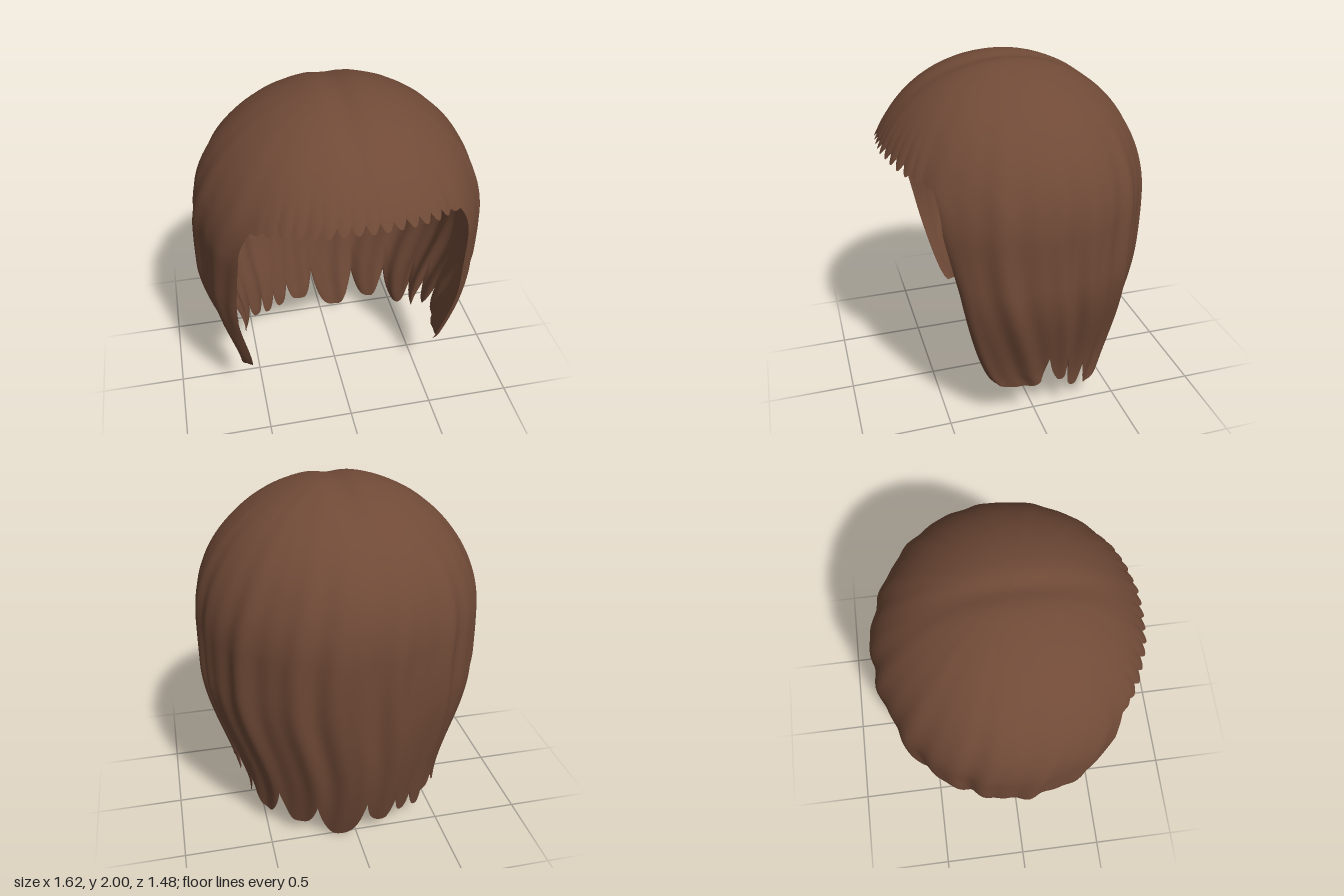
import * as THREE from 'three';

const DEG = Math.PI / 180;
const EDGE = 135 * DEG;      // half-angle of the side curtain at the fringe, measured from the back
const FRONT = Math.PI - EDGE;        // half-angle of the fringe
const BACK = 60 * DEG;               // strands within this half-angle hang straight down
const CURTAIN = 270, FRINGE = 160;   // columns
const CAP = 26, DROP = 40;           // rows
const COLS = CURTAIN + FRINGE;
const MID = 1.25, DOME = 0.755;      // height of the widest section, rise of the dome above it
const TEETH = 32;                    // scallop frequency of the fringe
const { clamp, lerp, smoothstep } = THREE.MathUtils;

// Lock tips along the hem: [end angle, tip height, height of the notch at the end angle]
const locks = [
  [-83, 0.28, 0.38], [-70, 0.25, 0.37], [-55, 0.11, 0.26], [-41, 0.13, 0.2], [-33, 0.08, 0.2],
  [-22, 0.09, 0.22], [-4, 0.08, 0.26], [22, 0, 0.25], [43, 0.09, 0.31], [64, 0.12, 0.33],
  [74, 0.18, 0.42], [84, 0.27, 0.47], [110, 0.27, 0.31],
];

// Squeeze the side strands so that the outermost one follows the front edge
function squeeze(u, edge) {
  const a = Math.abs(u);
  if (a <= BACK || a > EDGE) return u;
  return Math.sign(u) * (BACK + ((a - BACK) * (edge - BACK)) / (EDGE - BACK));
}

function hemHeight(u) {
  const a = clamp(squeeze(u, 110 * DEG) / DEG, -110, 110);
  let start = -110, startNotch = 0.31;
  for (const [end, tip, notch] of locks) {
    if (a <= end + 1e-6) {
      const s = ((a - start) / (end - start)) * 2 - 1;
      return tip + ((s < 0 ? startNotch : notch) - tip) * Math.abs(s) ** 3;
    }
    start = end;
    startNotch = notch;
  }
  return startNotch;
}

// Fade of the scallops toward the ends of the fringe
const fringeFade = (v) => clamp((FRONT - Math.abs(v)) * 5, 0, 1);

// Scalloped lower edge of the fringe
function fringeHeight(u) {
  const v = u - Math.PI;
  return 1.5 + 0.05 * Math.cos(2 * v)
    + 0.045 * fringeFade(v) * (1 - Math.abs(Math.sin(TEETH * v)));
}

// Angle of the curtain's front edge at a height, with a rounded upper corner
function edgeAngle(y) {
  return (110 + 20.5 * clamp(y - 0.3, 0, 1) ** 0.6 + 4.5 * clamp((y - 1.3) / 0.2, 0, 1) ** 2) * DEG;
}

// Point on the head shape: u around (0 = back), y up, thin = inward offset
function hairPoint(u, y, thin) {
  const cosT = clamp((y - MID) / DOME, 0, 1);
  const low = clamp((MID - y) / MID, 0, 1);
  const phi = squeeze(u, edgeAngle(y));
  const back = 0.5 + 0.5 * Math.cos(phi);

  // strand waves, deepest at the back and low down
  const amp = (0.003 + 0.011 * clamp((1.75 - y) / 0.6, 0, 1)) * (0.3 + 0.7 * Math.sqrt(back));
  const sway = Math.sin(4.5 * y);
  const wave = Math.sin(17 * u + 0.9 * sway) + 0.6 * Math.sin(29 * u + 2 + 1.2 * sway)
    + 0.5 * Math.sin(7 * u + 1 + 0.5 * sway);
  let r = Math.sqrt(1 - cosT * cosT) * (1 + amp * wave) * (1 - 0.036 * thin);

  // slightly squared front corners
  if (back < 0.5) r *= 1 + 0.015 * Math.sin(2 * phi) ** 2;

  // fine ripples running into the fringe scallops
  const v = u - Math.PI;
  const ripple = clamp((1.75 - y) / 0.2, 0, 1) * fringeFade(v);
  r *= 1 + 0.008 * ripple * (Math.abs(Math.sin(TEETH * v)) - 0.6);

  const width = 0.62 + 0.18 * smoothstep(y, 0.15, 0.98);
  const depth = back > 0.5 ? 0.735 * (1 - 0.3 * low ** 2.1) : 0.805 * (1 - 0.05 * low);
  const x = width * r * Math.sin(phi);
  const z = -depth * r * Math.cos(phi) + 0.03 * cosT ** 3;
  const parting = 0.02 * Math.exp(-(x * x) / 0.005) * cosT ** 4;
  return [x, y - parting - 0.028 * thin * cosT, z];
}

// One skin of the hair; the inner skin meets the outer one along every free edge
function hairSkin(inner) {
  const pos = [], index = [], rows = CAP + DROP + 1;
  for (let i = 0; i < COLS; i++) {
    const curtain = i <= CURTAIN;
    const u = curtain
      ? -EDGE + (2 * EDGE * i) / CURTAIN
      : EDGE + (2 * FRONT * (i - CURTAIN)) / FRINGE;
    const capY = curtain ? 1.5 : fringeHeight(u);
    const capT = Math.acos((capY - MID) / DOME);
    const hem = hemHeight(u);
    const sideFade = curtain ? clamp((EDGE - Math.abs(u)) / 0.1, 0, 1) : 0;
    for (let j = 0; j < rows; j++) {
      const y = j <= CAP
        ? MID + DOME * Math.cos((capT * j) / CAP)
        : lerp(capY, hem, (j - CAP) / DROP);
      // the curtain's front edge curls inward
      const curl = j > CAP ? 1.2 * (1 - sideFade) ** 2 * clamp((1.45 - y) / 0.5, 0, 1) : 0;
      const k = j <= CAP
        ? Math.max(sideFade, clamp((CAP - j) / 4, 0, 1))
        : sideFade * clamp((CAP + DROP - j) / 7, 0, 1);
      pos.push(...hairPoint(u, y, inner ? lerp(curl, 1, Math.sqrt(k)) : curl));
    }
  }
  for (let i = 0; i < COLS; i++) {
    const next = (i + 1) % COLS;
    const count = i < CURTAIN ? CAP + DROP : CAP;
    for (let j = 0; j < count; j++) {
      const a = i * rows + j, b = next * rows + j;
      const quad = [a, b + 1, a + 1];
      if (j > 0) quad.push(a, b, b + 1);
      if (inner) quad.reverse();
      index.push(...quad);
    }
  }
  const geo = new THREE.BufferGeometry();
  geo.setAttribute('position', new THREE.Float32BufferAttribute(pos, 3));
  geo.setIndex(index);
  geo.computeVertexNormals();
  // level normals at the crown, where all columns meet
  for (let i = 0; i < COLS; i++) geo.attributes.normal.setXYZ(i * rows, 0, inner ? -1 : 1, 0);
  return geo;
}

export function createModel() {
  const brown = new THREE.MeshStandardMaterial({ color: 0x704a37 });
  brown.name = 'brownHair';
  const group = new THREE.Group();
  group.name = 'hair';
  for (const [name, inner] of [['outerHair', false], ['innerHair', true]]) {
    const mesh = new THREE.Mesh(hairSkin(inner), brown);
    mesh.name = name;
    group.add(mesh);
  }
  return group;
}
